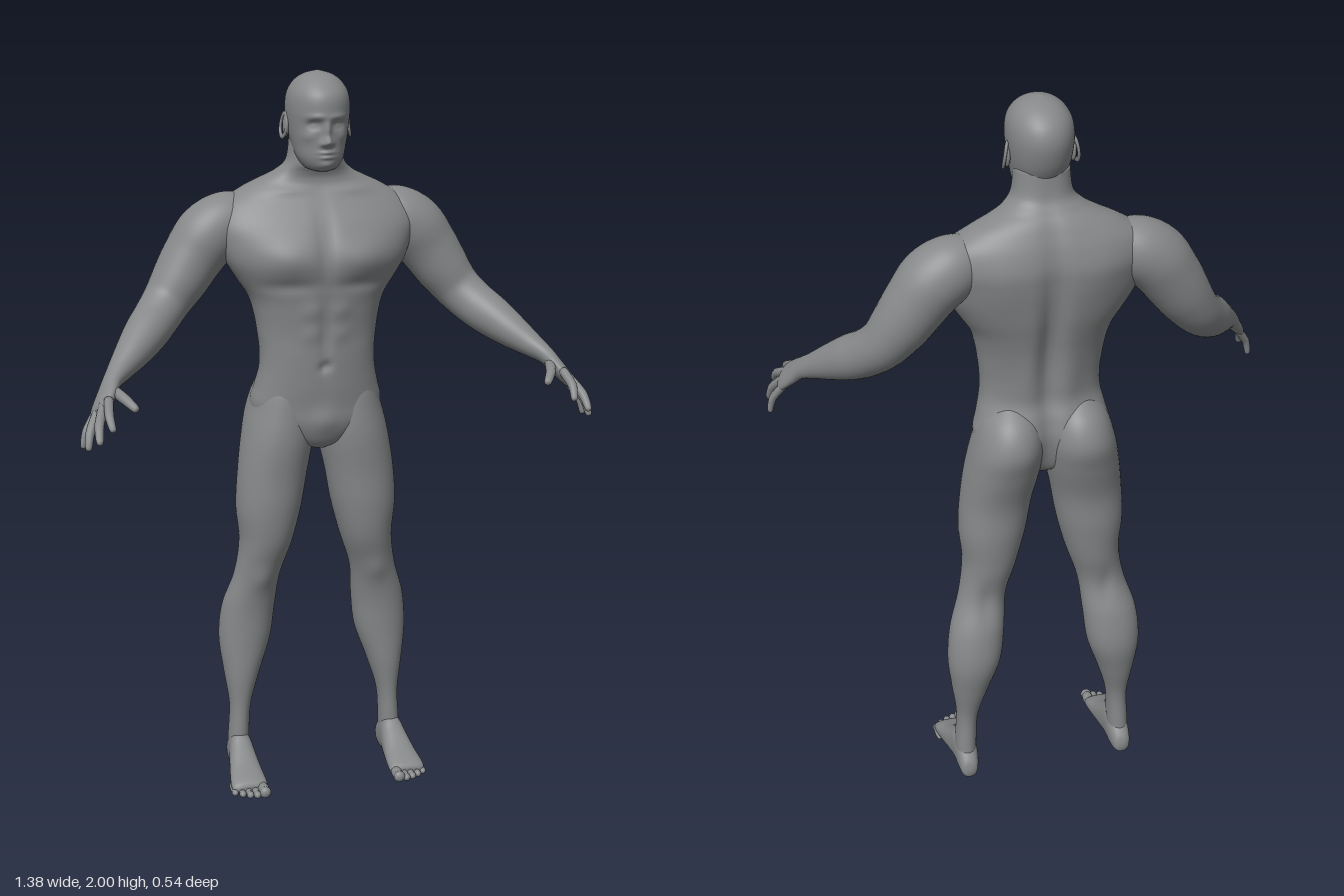
import * as THREE from 'three';

const skinMat = new THREE.MeshStandardMaterial({ color: 0x868889 });
const V = (x, y, z) => new THREE.Vector3(x, y, z);

// Catmull-Rom interpolation of whole rows of numbers, t in 0..1
function rowAt(rows, t) {
  const n = rows.length - 1;
  const i = Math.min(n - 1, Math.floor(t * n));
  const f = t * n - i;
  const [a, b, c, d] = [-1, 0, 1, 2].map((k) => rows[Math.max(0, Math.min(n, i + k))]);
  return b.map((_, k) => b[k] + 0.5 * f * (c[k] - a[k]
    + f * (2 * a[k] - 5 * b[k] + 4 * c[k] - d[k] + f * (3 * (b[k] - c[k]) + d[k] - a[k]))));
}

// Closed smooth surface through rings of points, turned to face outward
function skin(name, rings) {
  const m = rings[0].length;
  const pts = rings.flat();
  const idx = [];
  const last = rings.length - 1;
  for (let i = 0; i < last; i++) {
    for (let j = 0; j < m; j++) {
      const a = i * m + j, b = i * m + (j + 1) % m;
      idx.push(a, b, a + m, b, b + m, a + m);
    }
  }
  for (const [r, flip] of [[0, false], [last, true]]) {
    const c = pts.length;
    pts.push(rings[r].reduce((s, p) => s.add(p), V(0, 0, 0)).divideScalar(m));
    for (let j = 0; j < m; j++) {
      const a = r * m + j, b = r * m + (j + 1) % m;
      idx.push(c, flip ? a : b, flip ? b : a);
    }
  }
  let volume = 0;
  for (let i = 0; i < idx.length; i += 3) {
    volume += pts[idx[i]].dot(V(0, 0, 0).crossVectors(pts[idx[i + 1]], pts[idx[i + 2]]));
  }
  if (volume < 0) idx.reverse();
  const g = new THREE.BufferGeometry().setFromPoints(pts);
  g.setIndex(idx);
  g.computeVertexNormals();
  const mesh = new THREE.Mesh(g, skinMat);
  mesh.name = name;
  return mesh;
}

// Rows [u, p0, p1, q0, q1] are cross-section extents at height u.
// Bumps [side, p, u, widthP, widthU, amount] push the front (1) or back (-1), mirrored in p.
function loft(name, rows, { steps = 60, segs = 48, power = 2, bumps = [], place = (u, p, q) => V(p, u, q) }) {
  const rings = [];
  for (let i = 0; i <= steps; i++) {
    const [u, p0, p1, q0, q1] = rowAt(rows, i / steps);
    const ring = [];
    for (let j = 0; j < segs; j++) {
      const a = (j / segs) * Math.PI * 2;
      const c = Math.cos(a), s = Math.sin(a);
      const p = (p0 + p1) / 2 + (p1 - p0) / 2 * Math.sign(c) * Math.abs(c) ** (2 / power);
      let q = (q0 + q1) / 2 + (q1 - q0) / 2 * Math.sign(s) * Math.abs(s) ** (2 / power);
      for (const [side, bp, bu, wp, wu, amount] of bumps) {
        const mask = Math.max(0, Math.min(1, s * side * 3));
        q += side * amount * mask * Math.exp(-(((Math.abs(p) - bp) / wp) ** 2) - ((u - bu) / wu) ** 2);
      }
      ring.push(place(u, p, q));
    }
    rings.push(ring);
  }
  return skin(name, rings);
}

// Limb along a path: rows [x, y, z, halfWidth, halfThickness], widths lie along axis
function limb(name, rows, s, axis, steps = 16, segs = 14) {
  const at = (t) => { const r = rowAt(rows, Math.max(0, Math.min(1, t))); return [V(r[0], r[1], r[2]), r[3], r[4]]; };
  const rings = [];
  for (let i = 0; i <= steps; i++) {
    const t = i / steps;
    const [c, a, b] = at(t);
    const dir = at(t + 0.01)[0].sub(at(t - 0.01)[0]).normalize();
    const w = axis.clone().addScaledVector(dir, -axis.dot(dir)).normalize();
    const h = V(0, 0, 0).crossVectors(dir, w);
    const ring = [];
    for (let j = 0; j < segs; j++) {
      const q = (j / segs) * Math.PI * 2;
      const p = c.clone().addScaledVector(w, a * Math.cos(q)).addScaledVector(h, b * Math.sin(q));
      p.x *= s;
      ring.push(p);
    }
    rings.push(ring);
  }
  return skin(name, rings);
}

// Finger from knuckle to tip, with a slight bend and a rounded end
function finger(name, a, b, r, s, axis) {
  const bend = V(0.006, 0.008, 0.004);
  const rows = [[-0.15, 1, 0], [0.2, 1, 0.6], [0.5, 0.95, 1], [0.75, 0.85, 0.7], [0.92, 0.72, 0.25], [0.98, 0.45, 0.05], [1, 0.05, 0]]
    .map(([t, k, e]) => [...V(0, 0, 0).lerpVectors(a, b, t).addScaledVector(bend, e).toArray(), r * k, r * k]);
  return limb(name, rows, s, axis, 18, 12);
}

function ball(name, x, y, z, rx, ry, rz) {
  const m = new THREE.Mesh(new THREE.SphereGeometry(1, 20, 14), skinMat);
  m.name = name;
  m.position.set(x, y, z);
  m.scale.set(rx, ry, rz);
  return m;
}

const sym = (rows) => rows.map(([y, w, back, front]) => [y, -w, w, back, front]);

function makeTorso() {
  const rows = sym([
    [0.975, 0.03, -0.17, -0.06], [1.0, 0.09, -0.2, -0.035], [1.05, 0.165, -0.225, -0.02],
    [1.1, 0.184, -0.235, -0.018], [1.15, 0.173, -0.225, -0.013], [1.2, 0.162, -0.207, -0.01],
    [1.25, 0.16, -0.207, -0.008], [1.3, 0.165, -0.213, -0.008], [1.35, 0.173, -0.224, -0.003],
    [1.4, 0.188, -0.238, 0.003], [1.45, 0.22, -0.251, 0.012], [1.5, 0.25, -0.26, 0.017],
    [1.55, 0.268, -0.266, 0.008], [1.6, 0.279, -0.268, -0.015], [1.65, 0.255, -0.258, -0.048],
    [1.69, 0.195, -0.242, -0.073], [1.715, 0.143, -0.228, -0.079], [1.735, 0.105, -0.211, -0.074],
    [1.765, 0.078, -0.193, -0.06], [1.83, 0.07, -0.185, -0.06],
  ]);
  const bumps = [
    [1, 0, 1.55, 0.02, 0.09, -0.012], [1, 0.1, 1.515, 0.07, 0.045, 0.014], // chest
    [1, 0.1, 1.44, 0.08, 0.018, -0.007], [1, 0.1, 1.685, 0.06, 0.012, 0.006],
    [1, 0, 1.3, 0.014, 0.1, -0.007], [1, 0, 1.215, 0.013, 0.013, -0.012], // belly
    [1, 0.04, 1.37, 0.028, 0.026, 0.005], [1, 0.04, 1.305, 0.028, 0.026, 0.005],
    [1, 0, 1.06, 0.035, 0.04, 0.008],
    [-1, 0, 1.42, 0.028, 0.22, -0.026], [-1, 0.12, 1.58, 0.06, 0.07, 0.006], // back
    [-1, 0.055, 1.27, 0.035, 0.09, 0.007], [-1, 0, 1.08, 0.03, 0.1, -0.02],
  ];
  return loft('torso', rows, { steps: 110, segs: 96, power: 2.25, bumps });
}

function makeHead() {
  const head = new THREE.Group();
  head.name = 'head';
  const rows = sym([
    [1.74, 0.018, -0.09, -0.03], [1.75, 0.043, -0.12, -0.008], [1.775, 0.061, -0.155, 0.004],
    [1.81, 0.071, -0.182, 0.006], [1.85, 0.079, -0.202, 0.008], [1.9, 0.084, -0.213, 0.014],
    [1.94, 0.08, -0.205, 0.008], [1.97, 0.064, -0.18, -0.018], [1.99, 0.038, -0.145, -0.052],
    [2.0, 0.003, -0.102, -0.098],
  ]);
  const bumps = [
    [1, 0, 1.822, 0.011, 0.012, 0.025], [1, 0, 1.85, 0.009, 0.024, 0.012], [1, 0.012, 1.817, 0.007, 0.007, 0.009], // nose
    [1, 0.033, 1.866, 0.016, 0.011, -0.013], [1, 0.033, 1.864, 0.01, 0.006, 0.006], [1, 0.028, 1.886, 0.026, 0.008, 0.005], // eyes, brow
    [1, 0, 1.794, 0.02, 0.005, 0.006], [1, 0, 1.781, 0.018, 0.005, 0.006], [1, 0, 1.76, 0.02, 0.012, 0.007], // lips, chin
    [1, 0.05, 1.835, 0.016, 0.014, 0.005],
  ];
  head.add(loft('skull', rows, { steps: 110, segs: 120, power: 2.1, bumps }));
  for (const s of [1, -1]) {
    head.add(ball('ear', s * 0.084, 1.855, -0.108, 0.008, 0.03, 0.018));
    const rim = new THREE.Mesh(new THREE.TorusGeometry(0.019, 0.0045, 8, 28), skinMat);
    rim.name = 'earRim';
    rim.scale.set(0.9, 1.6, 1);
    rim.rotation.set(-0.15, s * 1.3, 0, 'YXZ');
    rim.position.set(s * 0.089, 1.857, -0.11);
    head.add(rim);
  }
  return head;
}

function makeArm(s) {
  const arm = new THREE.Group();
  arm.name = s > 0 ? 'leftArm' : 'rightArm';
  const axis = V(0.035, -0.04, -0.05).normalize();
  // shoulder, elbow, forearm, wrist and palm in one sweep
  arm.add(limb('armAndPalm', [
    [0.17, 1.63, -0.165, 0.05, 0.05], [0.225, 1.605, -0.163, 0.08, 0.08], [0.285, 1.567, -0.16, 0.089, 0.088],
    [0.33, 1.51, -0.157, 0.083, 0.083], [0.37, 1.45, -0.148, 0.078, 0.076], [0.41, 1.395, -0.132, 0.068, 0.066],
    [0.447, 1.355, -0.097, 0.063, 0.062], [0.485, 1.323, -0.05, 0.061, 0.058], [0.527, 1.289, 0.003, 0.05, 0.047],
    [0.566, 1.259, 0.05, 0.037, 0.034], [0.595, 1.236, 0.088, 0.032, 0.024], [0.613, 1.212, 0.118, 0.039, 0.021],
    [0.631, 1.187, 0.146, 0.043, 0.018], [0.639, 1.174, 0.16, 0.038, 0.013], [0.642, 1.17, 0.165, 0.02, 0.005],
  ], s, axis, 84, 40));
  const fingers = [
    ['indexFinger', V(0.616, 1.2, 0.176), V(0.617, 1.145, 0.25), 0.0125],
    ['middleFinger', V(0.632, 1.184, 0.172), V(0.654, 1.118, 0.264), 0.013],
    ['ringFinger', V(0.645, 1.168, 0.154), V(0.677, 1.09, 0.212), 0.0125],
    ['littleFinger', V(0.65, 1.156, 0.13), V(0.683, 1.08, 0.15), 0.011],
    ['thumb', V(0.592, 1.218, 0.125), V(0.55, 1.188, 0.218), 0.0145],
  ];
  for (const [name, a, b, r] of fingers) arm.add(finger(name, a, b, r, s, axis));
  return arm;
}

function makeLeg(s) {
  const leg = new THREE.Group();
  leg.name = s > 0 ? 'leftLeg' : 'rightLeg';
  leg.add(loft('thighAndCalf', [
    [1.2, 0.06, 0.12, -0.18, -0.06], [1.15, 0.018, 0.165, -0.243, -0.035], [1.08, 0.005, 0.19, -0.269, -0.025],
    [1.0, 0.008, 0.208, -0.251, -0.02], [0.9, 0.028, 0.222, -0.224, -0.025], [0.8, 0.046, 0.228, -0.219, -0.028],
    [0.7, 0.072, 0.22, -0.208, -0.042], [0.6, 0.104, 0.235, -0.196, -0.074], [0.5, 0.115, 0.266, -0.224, -0.092],
    [0.4, 0.128, 0.275, -0.235, -0.096], [0.3, 0.162, 0.264, -0.215, -0.097], [0.2, 0.191, 0.251, -0.19, -0.104],
    [0.1, 0.197, 0.256, -0.189, -0.104], [0.03, 0.2, 0.256, -0.195, -0.11],
  ], {
    steps: 84, segs: 48, power: 2.1, place: (y, x, z) => V(s * x, y, z),
    bumps: [[1, 0.165, 0.6, 0.03, 0.035, 0.008], [-1, 0.17, 0.6, 0.02, 0.05, -0.006]],
  }));
  leg.add(loft('foot', [
    [-0.212, 0.22, 0.234, 0.025, 0.04], [-0.203, 0.205, 0.25, 0.006, 0.065], [-0.17, 0.196, 0.257, 0, 0.1],
    [-0.12, 0.193, 0.261, 0, 0.122], [-0.08, 0.189, 0.268, 0, 0.098], [-0.03, 0.184, 0.277, 0, 0.066],
    [0.015, 0.181, 0.283, 0, 0.046], [0.035, 0.184, 0.28, 0.003, 0.035], [0.042, 0.2, 0.265, 0.012, 0.025],
  ], { steps: 48, segs: 36, power: 2.3, place: (z, x, y) => V(s * x, y, z) }));
  // toes, largest on the inside
  for (let i = 0; i < 5; i++) {
    const r = i ? 0.0105 - i * 0.0004 : 0.0155;
    const x = i ? 0.2 + i * 0.0192 : 0.197;
    const tip = [0.083, 0.081, 0.075, 0.064, 0.049][i];
    leg.add(ball('toe', s * x, r + 0.001, tip - 0.035, r, r, 0.035));
    leg.add(ball('toePad', s * x, r + 0.001, tip - 0.013, r * 1.05, r * 1.05, 0.013));
  }
  return leg;
}

export function createModel() {
  const model = new THREE.Group();
  model.name = 'standingFigure';
  model.add(makeTorso(), makeHead());
  for (const s of [1, -1]) model.add(makeArm(s), makeLeg(s));
  return model;
}
